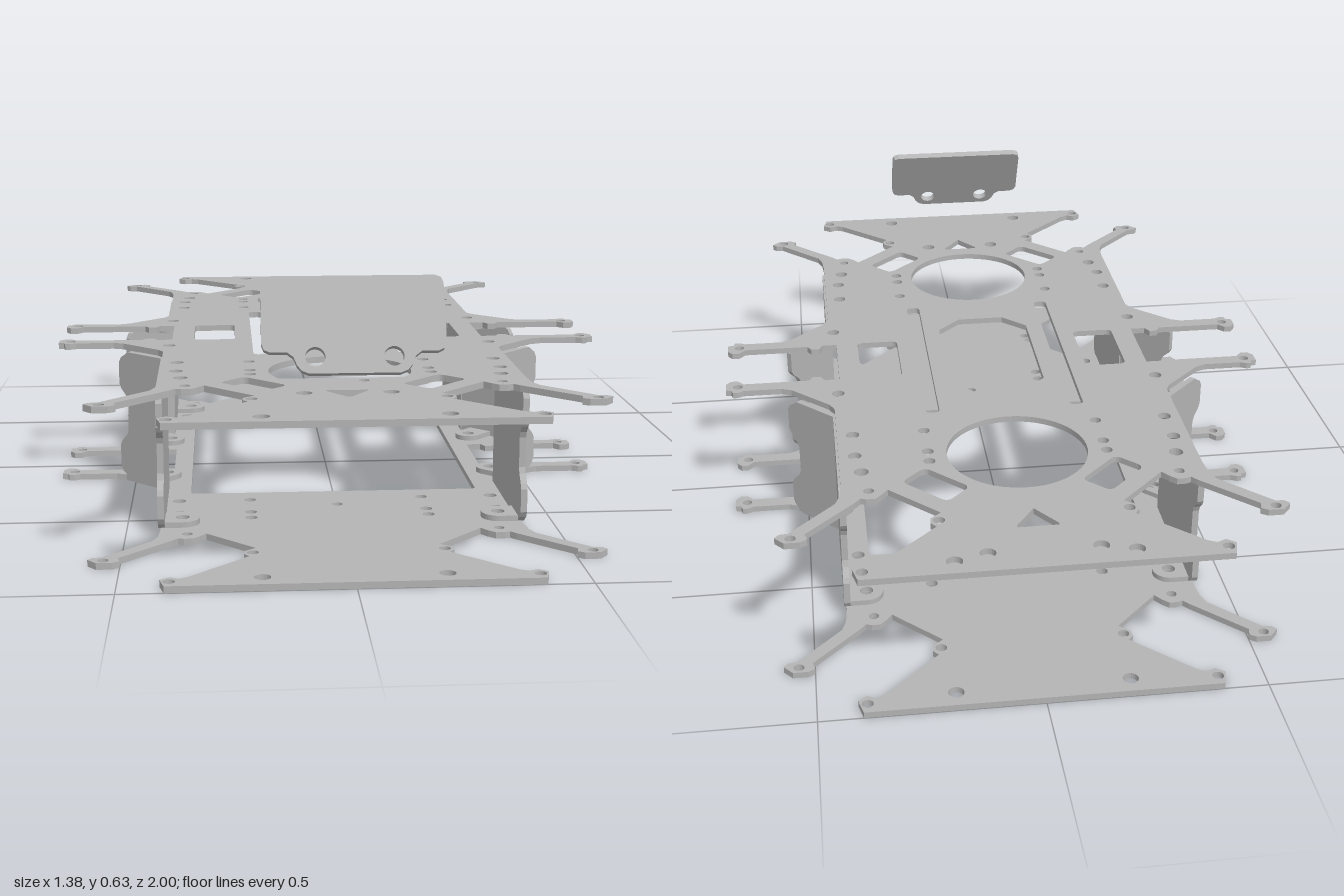
import * as THREE from 'three';

const grey = new THREE.MeshStandardMaterial({ color: 0xb4b4b4 });
grey.name = 'plain grey';

const T = 0.015;      // sheet thickness
const H = 0.36;       // overall height of the frame
const signs = [1, -1];

function circle(x, y, r, n = 20) {
  return new THREE.Path().absarc(x, y, r, 0, Math.PI * 2, false).getPoints(n / 2).slice(0, -1);
}

// rounded (or chamfered when n = 1) rectangle, turned by angle a
function roundRect(x, y, w, h, r, a = 0, n = 5) {
  const pts = [];
  [[1, 1], [-1, 1], [-1, -1], [1, -1]].forEach(([sx, sy], c) => {
    for (let i = 0; i <= n; i++) {
      const t = (c + i / n) * Math.PI / 2;
      const px = sx * (w / 2 - r) + r * Math.cos(t);
      const py = sy * (h / 2 - r) + r * Math.sin(t);
      pts.push(new THREE.Vector2(x + px * Math.cos(a) - py * Math.sin(a), y + px * Math.sin(a) + py * Math.cos(a)));
    }
  });
  return pts;
}

function sheet(name, outline, holes, depth) {
  const shape = new THREE.Shape(outline);
  shape.holes = holes.map((h) => new THREE.Path(h));
  const mesh = new THREE.Mesh(new THREE.ExtrudeGeometry(shape, { depth, bevelEnabled: false, curveSegments: 16 }), grey);
  mesh.name = name;
  return mesh;
}

// one quarter of the plate edge, from the end of the plate to its waist
const quarter = [
  [0.40, 1], [0.41, 0.96], [0.39, 0.945], [0.37, 0.955], [0.35, 0.945], [0.22, 0.82],
  [0.232, 0.805], [0.23, 0.785], [0.205, 0.765], [0.315, 0.655], [0.33, 0.675], [0.345, 0.69], [0.365, 0.69], [0.378, 0.685],
  [0.39, 0.70], [0.505, 0.815], [0.50, 0.835], [0.515, 0.845], [0.55, 0.845], [0.57, 0.822], [0.56, 0.81], [0.54, 0.808],
  [0.435, 0.70], [0.424, 0.67], [0.42, 0.62], [0.42, 0.26], [0.432, 0.235], [0.525, 0.145], [0.55, 0.135],
  [0.645, 0.135], [0.66, 0.143], [0.672, 0.143], [0.676, 0.13], [0.69, 0.127], [0.69, 0.095], [0.678, 0.08], [0.66, 0.08],
  [0.645, 0.098], [0.48, 0.098], [0.47, 0.08], [0.45, 0.08], [0.44, 0.10], [0.402, 0.10],
];

function plateOutline() {
  const back = quarter.map(([x, z]) => [x, -z]).reverse();
  const side = [...quarter, ...back];
  const other = side.map(([x, z]) => [-x, z]).reverse();
  return [...side, ...other].map(([x, z]) => new THREE.Vector2(x, z));
}

// screw holes: x, z, radius, repeated in each quarter
const screws = [
  [0.39, 0.972, 0.013], [0.195, 0.957, 0.018], [0.212, 0.795, 0.013], [0.21, 0.54, 0.014], [0.21, 0.495, 0.014],
  [0.358, 0.655, 0.012], [0.37, 0.57, 0.017], [0.382, 0.495, 0.016], [0.382, 0.395, 0.016],
  [0.408, 0.178, 0.016], [0.536, 0.828, 0.012], [0.66, 0.112, 0.012],
];

function screwHoles() {
  const out = [];
  for (const sx of signs) for (const sz of signs) for (const [x, z, r] of screws) out.push(circle(sx * x, sz * z, r, 24));
  return out;
}

function makePlate(name, holes, top) {
  const plate = sheet(name, plateOutline(), holes, T);
  plate.rotation.x = Math.PI / 2;
  plate.position.y = top;
  return plate;
}

function makeTopPlate() {
  const holes = screwHoles();
  holes.push(roundRect(0, 0, 0.24, 0.435, 0.06, 0, 1));                    // centre window
  holes.push(circle(0, -0.517, 0.167, 96), circle(0, 0.511, 0.167, 96));   // round openings
  for (const s of signs) {
    holes.push(roundRect(s * 0.18, 0, 0.034, 0.615, 0.012));               // long slots
    holes.push(roundRect(s * 0.293, 0, 0.106, 0.205, 0.014));              // side windows
    holes.push(circle(s * 0.122, -0.935, 0.018), circle(s * 0.096, 0.746, 0.018));
    holes.push(circle(s * 0.21, 0.395, 0.014), circle(s * 0.21, -0.395, 0.014));
    for (const t of signs) holes.push(roundRect(s * 0.205, t * 0.645, 0.135, 0.08, 0.016, Math.atan2(t, -s)));
  }
  for (const z of [-0.845, 0.722]) {                                       // triangles
    holes.push([[-0.046, z], [0.046, z], [0.046, z + 0.008], [0, z + 0.072], [-0.046, z + 0.008]]
      .map((p) => new THREE.Vector2(...p)));
  }
  return makePlate('topPlate', holes, H);
}

function makeBottomPlate() {
  const holes = screwHoles();
  holes.push(roundRect(0, -0.033, 0.71, 0.734, 0.01));                     // large floor opening
  holes.push(circle(0, 0.445, 0.013), circle(0, -0.455, 0.013));
  for (const s of signs) holes.push(circle(s * 0.21, 0.395, 0.014));
  return makePlate('bottomPlate', holes, T);
}

// flat wall running along +x from the fold, with a waisted free edge and two screw lugs
function makeWall(name, length, lugAt, reach, lugRadius, side) {
  const wall = new THREE.Group();
  wall.name = name;
  const y0 = T, y1 = H - T, l = length, d = 0.032;
  const edge = [
    [0, y0], [l - d, y0], [l - 0.022, y0 + 0.008], [l - 0.008, y0 + 0.016], [l, y0 + 0.03], [l, 0.10],
    [l - 0.007, 0.112], [l - 0.026, 0.13], [l - d, 0.145],
  ];
  const upper = edge.map(([x, y]) => [x, H - y]).reverse();
  const panel = sheet('wallPanel', [...edge, ...upper].map((p) => new THREE.Vector2(...p)), [], T);
  panel.position.z = -T / 2;
  wall.add(panel);
  for (const top of [T + 0.013, y1]) {
    const shape = new THREE.Shape();
    shape.moveTo(lugAt - lugRadius, 0);
    shape.lineTo(lugAt + lugRadius, 0);
    shape.lineTo(lugAt + lugRadius, reach);
    shape.absarc(lugAt, reach, lugRadius, 0, Math.PI, false);
    const pts = shape.getPoints(12).map((p) => new THREE.Vector2(p.x, p.y * side));
    const lug = sheet('wallLug', pts, [circle(lugAt, reach * side, 0.016)], 0.013);
    lug.rotation.x = Math.PI / 2;
    lug.position.y = top;
    wall.add(lug);
  }
  return wall;
}

function makeBracket(sx, sz) {
  const bracket = new THREE.Group();
  bracket.name = (sz > 0 ? 'front' : 'back') + (sx > 0 ? 'Left' : 'Right') + 'Bracket';
  const main = makeWall('mainWall', 0.37, 0.30, 0.048, 0.04, 1);
  main.rotation.y = -Math.PI / 2;
  const wing = makeWall('angledWing', 0.16, 0.065, 0.065, 0.035, -1);
  wing.rotation.y = Math.PI / 4;
  for (const w of [main, wing]) {
    w.position.set(0.418, 0, 0.268);
    bracket.add(w);
  }
  bracket.scale.set(sx, 1, sz);
  return bracket;
}

// tilted plate standing above the front end
function makeFrontPanel() {
  const half = [
    [0, 0], [0.095, 0], [0.11, 0.006], [0.12, 0.018], [0.127, 0.036], [0.14, 0.046],
    [0.175, 0.046], [0.188, 0.052], [0.193, 0.065], [0.193, 0.195], [0.188, 0.208], [0.175, 0.213],
  ];
  const mirror = half.slice(1).map(([x, y]) => [-x, y]).reverse();
  const panel = sheet('frontPanel', [...half, ...mirror].map((p) => new THREE.Vector2(...p)),
    signs.map((s) => circle(s * 0.082, 0.036, 0.021, 32)), 0.018);
  panel.rotation.x = -0.49;
  panel.position.set(0, 0.435, 0.92);
  return panel;
}

export function createModel() {
  const model = new THREE.Group();
  model.name = 'frame';
  model.add(makeTopPlate(), makeBottomPlate(), makeFrontPanel());
  for (const sx of signs) for (const sz of signs) model.add(makeBracket(sx, sz));
  return model;
}
